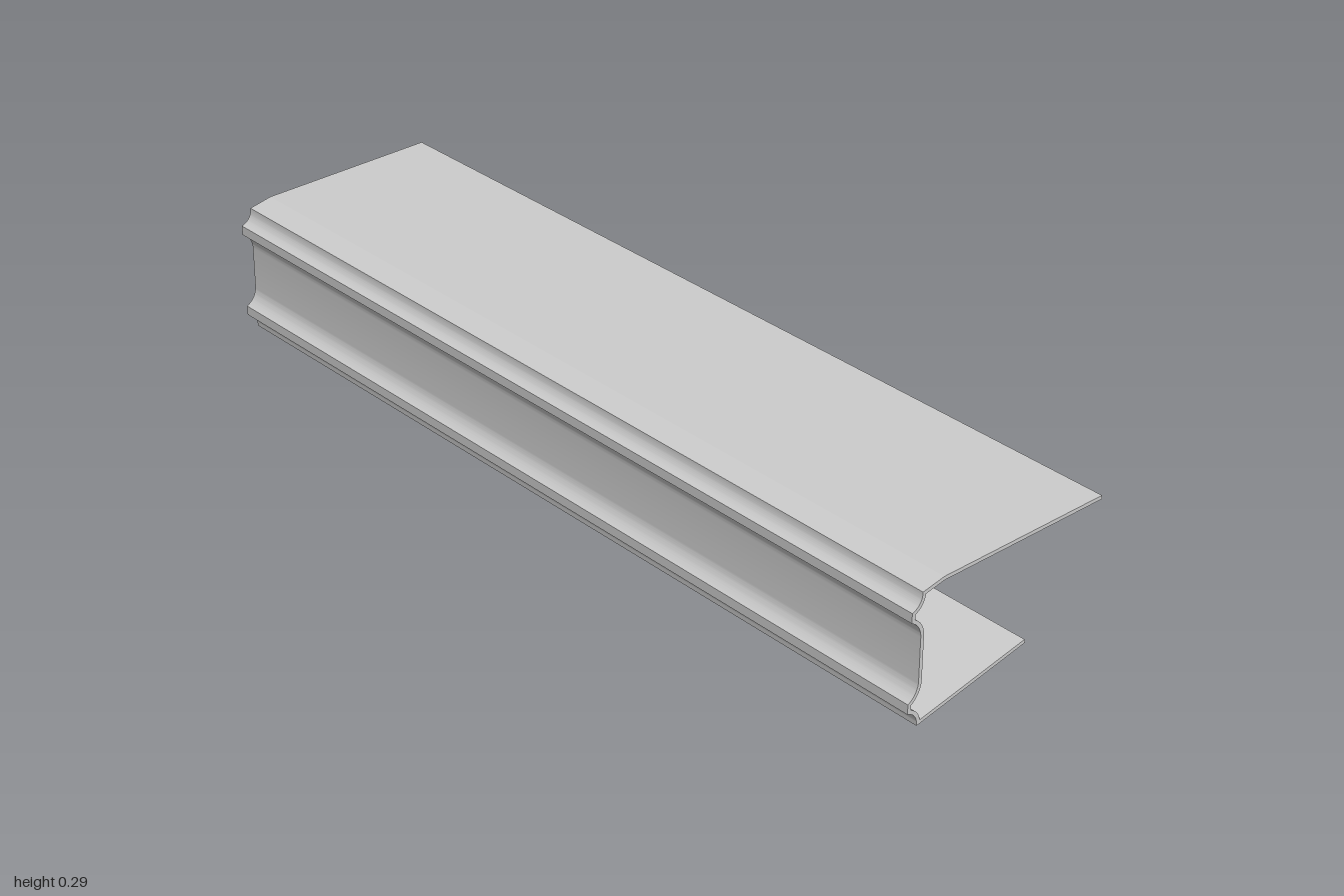
import * as THREE from 'three';
import { toCreasedNormals } from 'three/addons/utils/BufferGeometryUtils.js';

const LENGTH = 2;
const HALF_THICKNESS = 0.004;
const MID_Y = 0.143; // the moulded face mirrors about this height

const P = (z, y) => new THREE.Vector2(z, y);

// Hollow curve leaving "from" vertically and ending at "to", bulging inwards
function cove(from, to, steps = 12) {
  const dz = to.x - from.x, dy = to.y - from.y;
  const r = (dz * dz + dy * dy) / (2 * dz);
  const sweep = Math.asin(dy / r);
  return Array.from({ length: steps + 1 }, (_, i) => {
    const a = (sweep * i) / steps;
    return P(from.x + r - r * Math.cos(a), from.y + r * Math.sin(a));
  });
}

// Closed outline of constant thickness around a centre line, with mitred joints
function sheetOutline(line) {
  const normals = line.slice(1).map((p, i) => {
    const d = p.clone().sub(line[i]).normalize();
    return P(-d.y, d.x);
  });
  const side = (s) => line.map((p, i) => {
    const a = normals[Math.max(i - 1, 0)];
    const b = normals[Math.min(i, normals.length - 1)];
    const miter = a.clone().add(b).divideScalar(1 + a.dot(b));
    return p.clone().addScaledVector(miter, s * HALF_THICKNESS);
  });
  return [...side(1), ...side(-1).reverse()];
}

export function createModel() {
  // Upper half of the moulded face: top cove, flat nose, lower cove into the web
  const upperFace = [
    ...cove(P(0.2165, 0.281), P(0.241, 0.2475)),
    ...cove(P(0.2165, 0.19), P(0.241, 0.2315)).reverse(),
  ];
  const lowerFace = upperFace.map((p) => P(p.x, 2 * MID_Y - p.y)).reverse();

  // Centre line from the top flange, down the face, to the sloping bottom lip
  const centreLine = [
    P(-0.244, 0.2905), P(0.167, 0.2905),
    ...upperFace, ...lowerFace,
    P(-0.058, 0.0585),
  ];

  // The section is drawn with z reversed, then turned to run along x
  const shape = new THREE.Shape(sheetOutline(centreLine).map((p) => P(-p.x, p.y)));
  const extruded = new THREE.ExtrudeGeometry(shape, { depth: LENGTH, bevelEnabled: false });
  extruded.rotateY(Math.PI / 2).translate(-LENGTH / 2, 0, 0);

  const profile = new THREE.Mesh(
    toCreasedNormals(extruded, 0.17),
    new THREE.MeshStandardMaterial({ color: 0xcccccc }),
  );
  profile.name = 'mouldedSheetProfile';

  const group = new THREE.Group();
  group.name = 'trimProfile';
  group.add(profile);
  return group;
}
